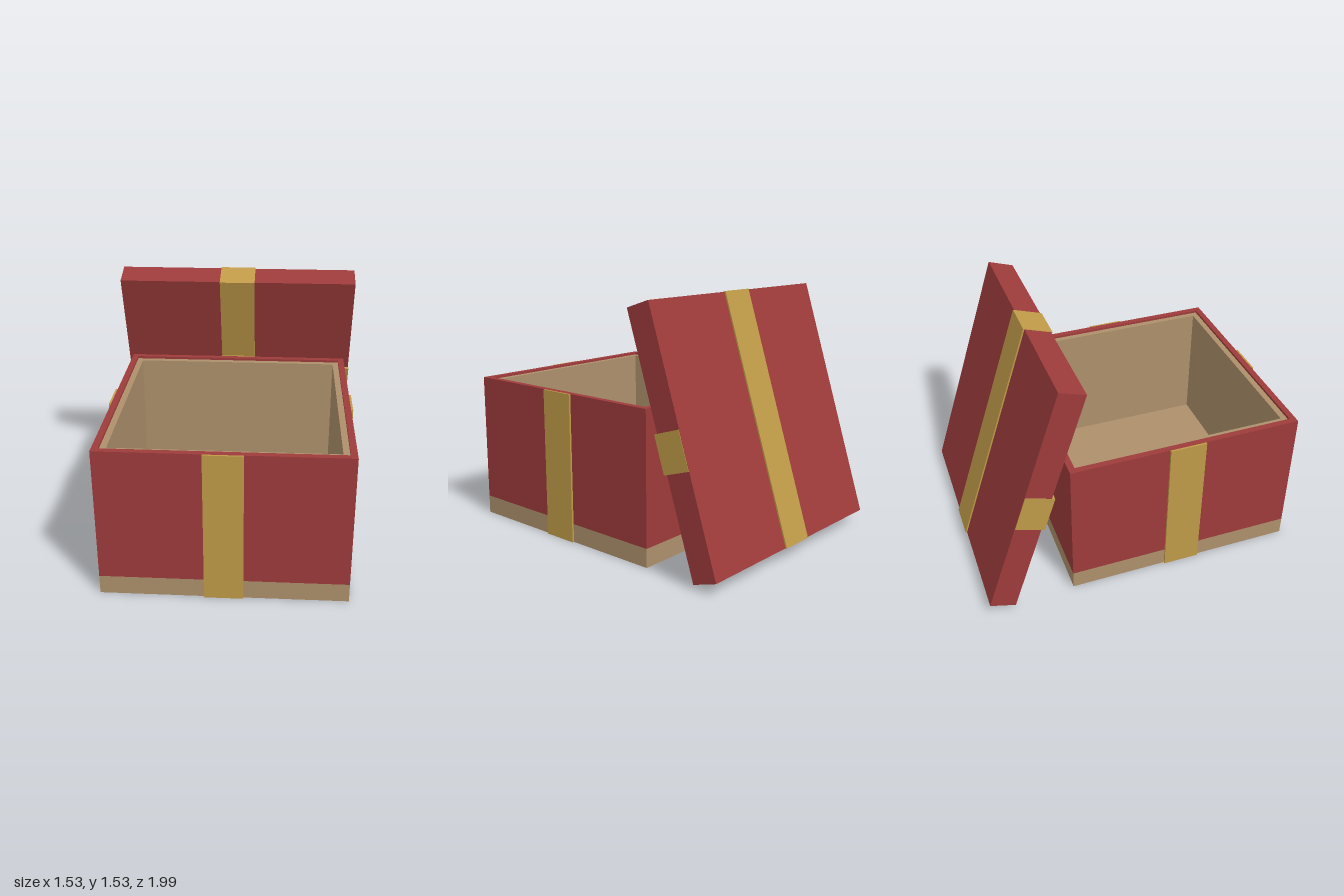
import * as THREE from 'three';

const red = new THREE.MeshStandardMaterial({ color: 0x9e3b3b });
red.name = 'red paper';
const tan = new THREE.MeshStandardMaterial({ color: 0xae906c });
tan.name = 'tan cardboard';
const gold = new THREE.MeshStandardMaterial({ color: 0xc09b48 });
gold.name = 'gold ribbon';

function addBox(parent, name, material, size, position) {
  const mesh = new THREE.Mesh(new THREE.BoxGeometry(...size), material);
  mesh.name = name;
  mesh.position.set(...position);
  parent.add(mesh);
  return mesh;
}

// Square tube standing upright, open at top and bottom
function addWalls(parent, name, material, outer, inner, y0, y1) {
  const square = (Base, r) => new Base([
    new THREE.Vector2(-r, -r), new THREE.Vector2(r, -r),
    new THREE.Vector2(r, r), new THREE.Vector2(-r, r),
  ]);
  const shape = square(THREE.Shape, outer);
  shape.holes.push(square(THREE.Path, inner));
  const geometry = new THREE.ExtrudeGeometry(shape, { depth: y1 - y0, bevelEnabled: false });
  geometry.rotateX(-Math.PI / 2);
  const mesh = new THREE.Mesh(geometry, material);
  mesh.name = name;
  mesh.position.y = y0;
  parent.add(mesh);
}

export function createModel() {
  const model = new THREE.Group();
  model.name = 'giftBox';

  const half = 0.718, height = 0.925, baseHeight = 0.115, ribbonWidth = 0.226;

  // Open box
  const box = new THREE.Group();
  box.name = 'box';
  box.position.z = 0.27;
  model.add(box);
  addBox(box, 'base', tan, [half * 2, baseHeight, half * 2], [0, baseHeight / 2, 0]);
  addWalls(box, 'outerWalls', red, half, 0.68, baseHeight, height);
  addWalls(box, 'lining', tan, 0.68, 0.643, baseHeight, height - 0.015);

  // One upright ribbon on each of the four sides
  for (let i = 0; i < 4; i++) {
    const side = new THREE.Group();
    side.name = 'sideRibbon';
    side.rotation.y = i * Math.PI / 2;
    addBox(side, 'boxRibbon', gold, [ribbonWidth, height, 0.012], [0, height / 2, half + 0.006]);
    box.add(side);
  }

  // Lid leaning behind the box; local -z is its outer face
  const lid = new THREE.Group();
  lid.name = 'lid';
  lid.position.set(0, 0.775, -0.669);
  lid.rotation.x = THREE.MathUtils.degToRad(18);
  model.add(lid);
  addBox(lid, 'lidPanel', red, [1.526, 1.522, 0.162], [0, 0, 0]);
  addBox(lid, 'lidRibbon', gold, [ribbonWidth, 1.527, 0.18], [0, 0, 0]);
  addBox(lid, 'lidCrossRibbon', gold, [1.532, ribbonWidth, 0.18], [0, -0.045, 0.011]);

  return model;
}
